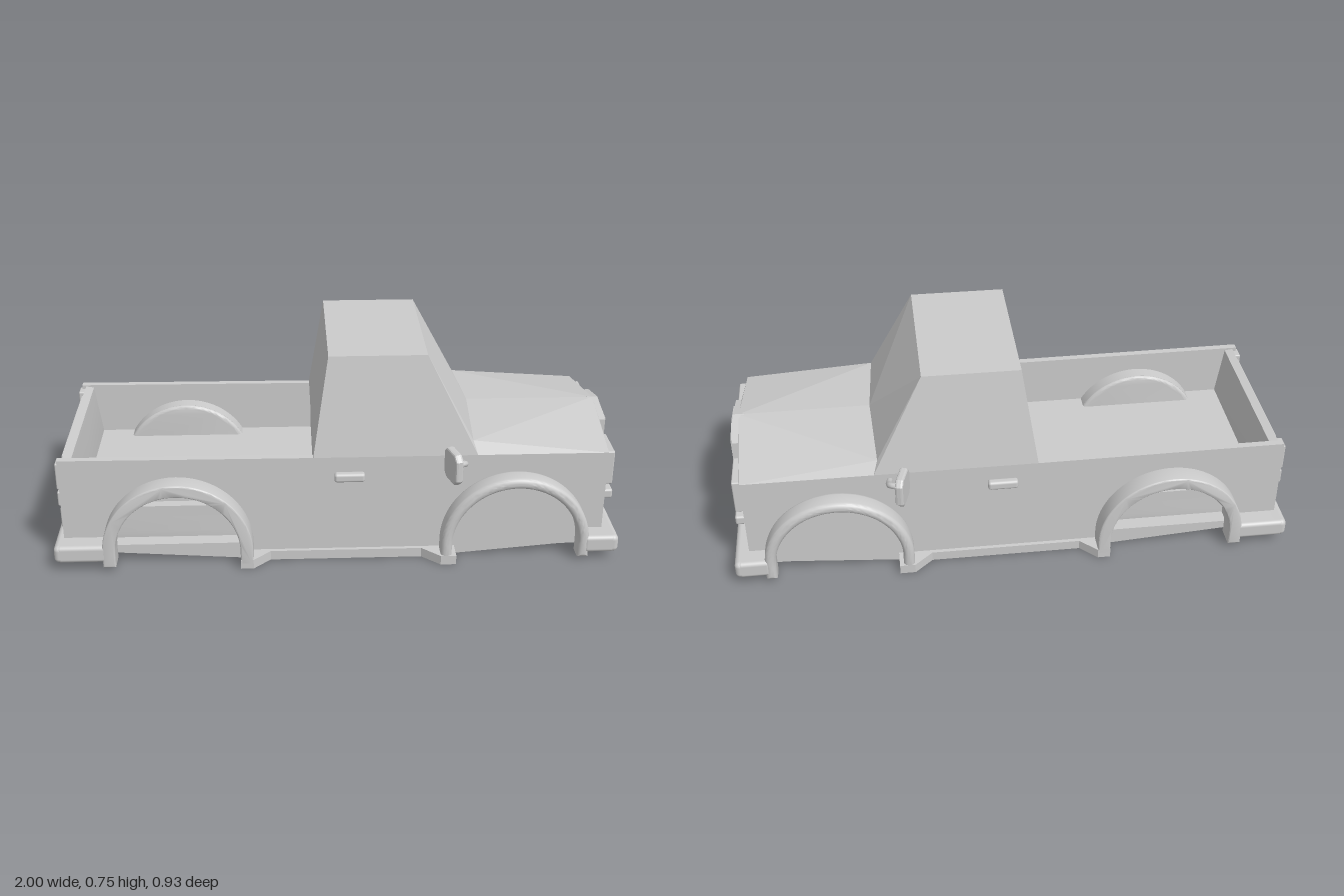
import * as THREE from 'three';
import { toCreasedNormals } from 'three/addons/utils/BufferGeometryUtils.js';
import { RoundedBoxGeometry } from 'three/addons/geometries/RoundedBoxGeometry.js';
import { ConvexGeometry } from 'three/addons/geometries/ConvexGeometry.js';

const V = (x, y, z) => new THREE.Vector3(x, y, z);

export function createModel() {
  const truck = new THREE.Group();
  truck.name = 'pickupTruck';
  const mat = new THREE.MeshStandardMaterial({ color: 0xcccccc, side: THREE.DoubleSide });

  const add = (name, geo) => {
    const mesh = new THREE.Mesh(geo, mat);
    mesh.name = name;
    truck.add(mesh);
    return mesh;
  };
  // Box given by its minimum and maximum corners, optionally rounded
  const box = (name, [x0, x1], [y0, y1], [z0, z1], r = 0) => {
    const s = [x1 - x0, y1 - y0, z1 - z0];
    const geo = r ? new RoundedBoxGeometry(...s, 3, r) : new THREE.BoxGeometry(...s);
    return add(name, geo.translate((x0 + x1) / 2, (y0 + y1) / 2, (z0 + z1) / 2));
  };
  const poly = (pts) => new THREE.Shape(pts.map(([x, y]) => new THREE.Vector2(x, y)));
  // Side outline (x, y) extruded between two z values
  const slab = (name, shape, z0, z1, bevel = 0) => {
    const geo = new THREE.ExtrudeGeometry(shape, {
      depth: z1 - z0 - 2 * bevel, curveSegments: 28, bevelEnabled: bevel > 0,
      bevelSize: bevel, bevelThickness: bevel, bevelOffset: -bevel, bevelSegments: 4,
    });
    return add(name, toCreasedNormals(geo.translate(0, 0, z0 + bevel), 0.6));
  };
  // Front outline (z, y) extruded between two x values
  const frontPlate = (name, pts, x0, x1) => {
    const geo = new THREE.ExtrudeGeometry(poly(pts), { depth: x1 - x0, bevelEnabled: false });
    return add(name, geo.rotateY(Math.PI / 2).translate(x0, 0, 0));
  };
  const hull = (name, pts) => add(name, new ConvexGeometry(pts));
  const bothSides = (pts) => pts.flatMap(([x, y, z]) => [V(x, y, z), V(x, y, -z)]);
  // Arch band with straight legs down to y = foot
  const archShape = (cx, cy, outer, inner, foot) => {
    const s = new THREE.Shape();
    s.moveTo(cx + outer, foot);
    s.lineTo(cx + outer, cy);
    s.absarc(cx, cy, outer, 0, Math.PI, false);
    s.lineTo(cx - outer, foot);
    s.lineTo(cx - inner, foot);
    s.lineTo(cx - inner, cy);
    s.absarc(cx, cy, inner, Math.PI, 0, true);
    s.lineTo(cx + inner, foot);
    return s;
  };

  const frontWheelX = 0.63, rearWheelX = -0.565, wheelY = 0.07;

  // Underbody with its raised ends
  slab('underbody', poly([[-0.98, 0.04], [-0.8, 0.035], [-0.35, 0.003], [0.42, 0.003],
    [0.8, 0.035], [0.98, 0.04], [0.98, 0.065], [-0.98, 0.065]]), -0.333, 0.333);

  // Solid lower body below cab and hood
  box('lowerBody', [-0.08, 0.95], [0.04, 0.4], [-0.335, 0.335]);

  // Cab with leaning sides and windshield
  hull('cab', bothSides([[-0.085, 0.4, 0.335], [-0.03, 0.755, 0.275], [0.31, 0.755, 0.275],
    [0.475, 0.445, 0.31], [0.49, 0.463, 0], [0.49, 0.4, 0.335]]));

  // Hood narrowing to the grille, sloping down to the fenders
  hull('hood', bothSides([[0.46, 0.4, 0.335], [0.475, 0.445, 0.31], [0.49, 0.463, 0],
    [0.95, 0.4, 0.335], [0.96, 0.43, 0.135], [0.96, 0.462, 0]]));

  // Cargo bed floor and tailgate
  box('bedFloor', [-0.95, -0.08], [0.17, 0.21], [-0.315, 0.315]);
  slab('tailgate', poly([[-0.955, 0.06], [-0.9, 0.06], [-0.9, 0.21], [-0.925, 0.395],
    [-0.955, 0.4]]), -0.325, 0.325);
  box('tailgatePanel', [-0.965, -0.95], [0.12, 0.385], [-0.255, 0.255]);

  // Grille surround and its insert
  const grille = (w, shoulder, peak) => [[-w, 0.1], [w, 0.1], [w, shoulder], [0, peak], [-w, shoulder]];
  frontPlate('grilleSurround', grille(0.135, 0.432, 0.463), 0.94, 0.98);
  frontPlate('grille', grille(0.108, 0.425, 0.442), 0.95, 0.988);

  // Bumpers
  box('frontBumper', [0.935, 1], [0.035, 0.1], [-0.405, 0.405], 0.018);
  box('rearBumper', [-1, -0.935], [0.035, 0.1], [-0.405, 0.405], 0.018);

  for (const side of [1, -1]) {
    const span = (a, b) => (side > 0 ? [a, b] : [-b, -a]);
    const prefix = side > 0 ? 'left' : 'right';

    // Bed wall with an open rear wheel cutout
    const wall = new THREE.Shape();
    wall.moveTo(-0.97, 0.06);
    wall.lineTo(rearWheelX - 0.225, 0.06);
    wall.lineTo(rearWheelX - 0.225, wheelY);
    wall.absarc(rearWheelX, wheelY, 0.225, Math.PI, 0, true);
    wall.lineTo(rearWheelX + 0.225, 0.06);
    wall.lineTo(-0.07, 0.06);
    wall.lineTo(-0.07, 0.4);
    wall.lineTo(-0.97, 0.405);
    slab(prefix + 'BedWall', wall, ...span(0.31, 0.335));

    // Rear wheel housing standing in the bed
    slab(prefix + 'WheelHousing', archShape(rearWheelX, 0.09, 0.245, 0.225, 0.05), ...span(0.26, 0.325));
    const cap = new THREE.Shape();
    cap.absarc(rearWheelX, 0.09, 0.245, 0, Math.PI, false);
    cap.lineTo(rearWheelX - 0.245, 0.05);
    cap.lineTo(rearWheelX + 0.245, 0.05);
    slab(prefix + 'WheelHousingCap', cap, ...span(0.25, 0.28), 0.012);

    // Wheel arch flares
    slab(prefix + 'FrontFlare', archShape(frontWheelX, wheelY, 0.265, 0.225, 0.015), ...span(0.325, 0.405), 0.018);
    slab(prefix + 'RearFlare', archShape(rearWheelX, wheelY, 0.265, 0.22, 0.015), ...span(0.325, 0.405), 0.006);

    // Sill that flares out to meet the arches
    const plan = poly([[-0.345, 0.3], [0.42, 0.3], [0.42, 0.405], [0.365, 0.405],
      [0.3, 0.347], [-0.24, 0.347], [-0.3, 0.405], [-0.345, 0.405]].map(([x, z]) => [x, -side * z]));
    const sill = new THREE.ExtrudeGeometry(plan, { depth: 0.035, bevelEnabled: false });
    add(prefix + 'Sill', sill.rotateX(-Math.PI / 2));

    // Bumper ends running back to the arches
    box(prefix + 'FrontBumperEnd', [0.875, 0.99], [0.035, 0.1], span(0.32, 0.405), 0.015);
    box(prefix + 'RearBumperEnd', [-0.99, -0.81], [0.035, 0.1], span(0.32, 0.405), 0.015);

    // Headlight, turn lamp and tail lamps
    box(prefix + 'Headlight', [0.94, 0.98], [0.262, 0.39], span(0.163, 0.31), 0.005);
    box(prefix + 'TurnLamp', [0.94, 0.985], [0.203, 0.238], span(0.163, 0.31), 0.008);
    box(prefix + 'TailLamp', [-0.98, -0.95], [0.29, 0.39], span(0.275, 0.328), 0.005);
    box(prefix + 'ReverseLamp', [-0.98, -0.95], [0.225, 0.28], span(0.275, 0.328), 0.005);
    box(prefix + 'RearReflector', [-0.975, -0.95], [0.14, 0.215], span(0.275, 0.328), 0.005);

    // Door handle
    box(prefix + 'DoorHandle', [-0.012, 0.095], [0.312, 0.345], span(0.33, 0.36), 0.01);

    // Mirror: clipped-corner plate on a bent arm
    const w = 0.054, h = 0.057, c = 0.02;
    const plate = new THREE.ExtrudeGeometry(poly([[-w + c, -h], [w - c, -h], [w, -h + c], [w, h - c],
      [w - c, h], [-w + c, h], [-w, h - c], [-w, -h + c]]), {
      depth: 0.012, bevelSize: 0.006, bevelOffset: -0.006, bevelThickness: 0.008, bevelSegments: 2,
    });
    const mirror = add(prefix + 'Mirror', plate.translate(0, 0, -0.006));
    mirror.position.set(0.395, 0.4, side * 0.412);
    mirror.rotation.y = Math.PI / 2 + side * 0.28;
    const arm = new THREE.CatmullRomCurve3([V(0.435, 0.37, side * 0.325), V(0.44, 0.382, side * 0.365),
      V(0.435, 0.398, side * 0.395), V(0.4, 0.4, side * 0.412)]);
    add(prefix + 'MirrorArm', new THREE.TubeGeometry(arm, 12, 0.011, 8));
  }
  return truck;
}
